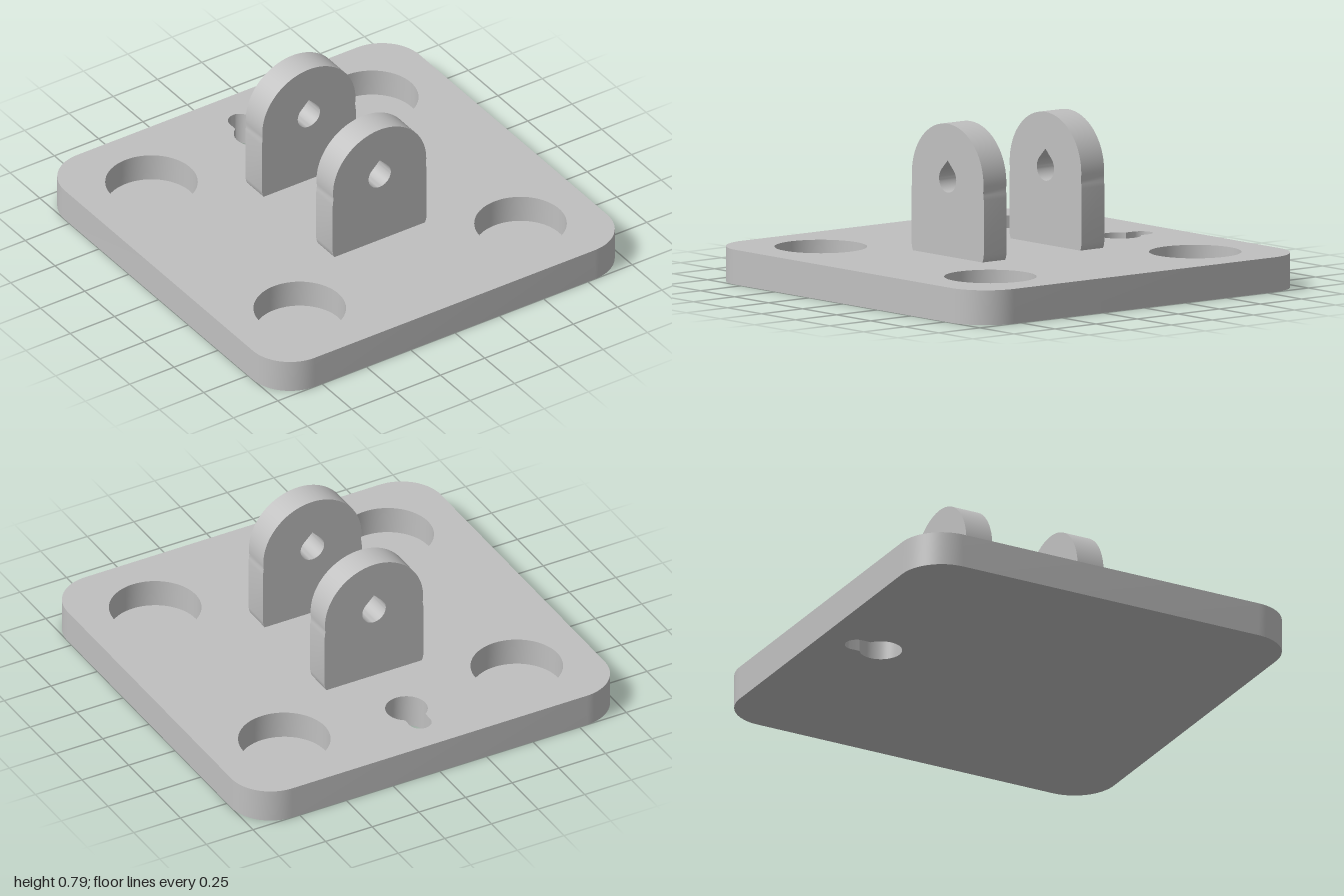
import * as THREE from 'three';
import { mergeGeometries, toCreasedNormals } from 'three/addons/utils/BufferGeometryUtils.js';

const PLATE_TOP = 0.165, POCKET_FLOOR = 0.028;
const CREASE = 0.55;

// Points along an arc; a decreasing angle runs clockwise
function arc(cx, cy, r, a0, a1, n) {
  return Array.from({ length: n + 1 }, (_, i) => {
    const a = a0 + (a1 - a0) * i / n;
    return new THREE.Vector2(cx + r * Math.cos(a), cy + r * Math.sin(a));
  });
}

function makeShape(outline, holes = []) {
  const shape = new THREE.Shape(outline);
  shape.holes = holes.map(h => new THREE.Path(h));
  return shape;
}

function bare(geometry) {
  const g = geometry.index ? geometry.toNonIndexed() : geometry;
  g.deleteAttribute('uv');
  g.deleteAttribute('normal');
  return g;
}

// Horizontal face at height y, looking up or down
function face(outline, holes, y, up) {
  const flip = pts => up ? pts : pts.map(p => new THREE.Vector2(p.x, -p.y));
  const g = new THREE.ShapeGeometry(makeShape(flip(outline), holes.map(flip)));
  return bare(g.rotateX(up ? -Math.PI / 2 : Math.PI / 2).translate(0, y, 0));
}

// Upright wall round a closed loop: outlines anticlockwise, holes clockwise
function wall(loop, y0, y1) {
  const pos = [];
  loop.forEach((a, i) => {
    const b = loop[(i + 1) % loop.length];
    if (a.distanceTo(b) < 1e-6) return;
    const a0 = [a.x, y0, -a.y], b0 = [b.x, y0, -b.y];
    const a1 = [a.x, y1, -a.y], b1 = [b.x, y1, -b.y];
    pos.push(...a0, ...b0, ...b1, ...a0, ...b1, ...a1);
  });
  const g = new THREE.BufferGeometry();
  g.setAttribute('position', new THREE.Float32BufferAttribute(pos, 3));
  return g;
}

// Rounded plate with four blind pockets and a keyhole right through
function plateGeometry() {
  const r = 0.21, c = 1 - r, q = Math.PI / 2;
  const outline = [[1, 1], [-1, 1], [-1, -1], [1, -1]].flatMap(
    ([sx, sz], i) => arc(sx * c, sz * c, r, i * q, (i + 1) * q, 16));

  const slot = 0.055, bulb = 0.1, bulbY = 0.68;
  const join = Math.acos(slot / bulb);
  const keyhole = [
    ...arc(0, 0.81, slot, Math.PI, 0, 20),
    ...arc(0, bulbY, bulb, join, -join - Math.PI, 40),
  ];

  const pockets = [[1, 1], [-1, 1], [-1, -1], [1, -1]].map(
    ([sx, sz]) => arc(sx * 0.623, sz * 0.623, 0.217, 0, -2 * Math.PI, 64).slice(0, -1));

  return toCreasedNormals(mergeGeometries([
    face(outline, [keyhole, ...pockets], PLATE_TOP, true),
    face(outline, [keyhole], 0, false),
    wall(outline, 0, PLATE_TOP),
    wall(keyhole, 0, PLATE_TOP),
    ...pockets.map(p => wall(p, POCKET_FLOOR, PLATE_TOP)),
    ...pockets.map(p => face(p, [], POCKET_FLOOR, true)),
  ]), CREASE);
}

// Round-topped lug with a teardrop cross hole
function lugGeometry() {
  const cy = 0.53, r = 0.263, dip = Math.asin(0.036 / r);
  const side = [[0.254, 0.163], [0.261, 0.178], [0.265, 0.2], [0.265, 0.46], [0.263, 0.48]];
  const outline = [
    ...side.map(([x, y]) => new THREE.Vector2(x, y)),
    ...arc(0, cy, r, -dip, Math.PI + dip, 56),
    ...side.slice().reverse().map(([x, y]) => new THREE.Vector2(-x, y)),
  ];
  const holeR = 0.063;
  const teardrop = [
    new THREE.Vector2(0, cy + holeR * Math.SQRT2),
    ...arc(0, cy, holeR, Math.PI / 4, -Math.PI * 1.25, 36),
  ];
  const g = new THREE.ExtrudeGeometry(makeShape(outline, [teardrop]),
    { depth: 0.139, bevelEnabled: false });
  return toCreasedNormals(g.translate(0, 0, -0.0695), CREASE);
}

export function createModel() {
  const group = new THREE.Group();
  group.name = 'mountingBracket';
  const grey = new THREE.MeshStandardMaterial({ color: 0xc0c0c0 });
  grey.name = 'grey';

  const plate = new THREE.Mesh(plateGeometry(), grey);
  plate.name = 'basePlate';
  group.add(plate);

  const lug = lugGeometry();
  for (const [name, z] of [['frontLug', 0.2975], ['backLug', -0.2975]]) {
    const mesh = new THREE.Mesh(lug, grey);
    mesh.name = name;
    mesh.position.z = z;
    group.add(mesh);
  }
  return group;
}
